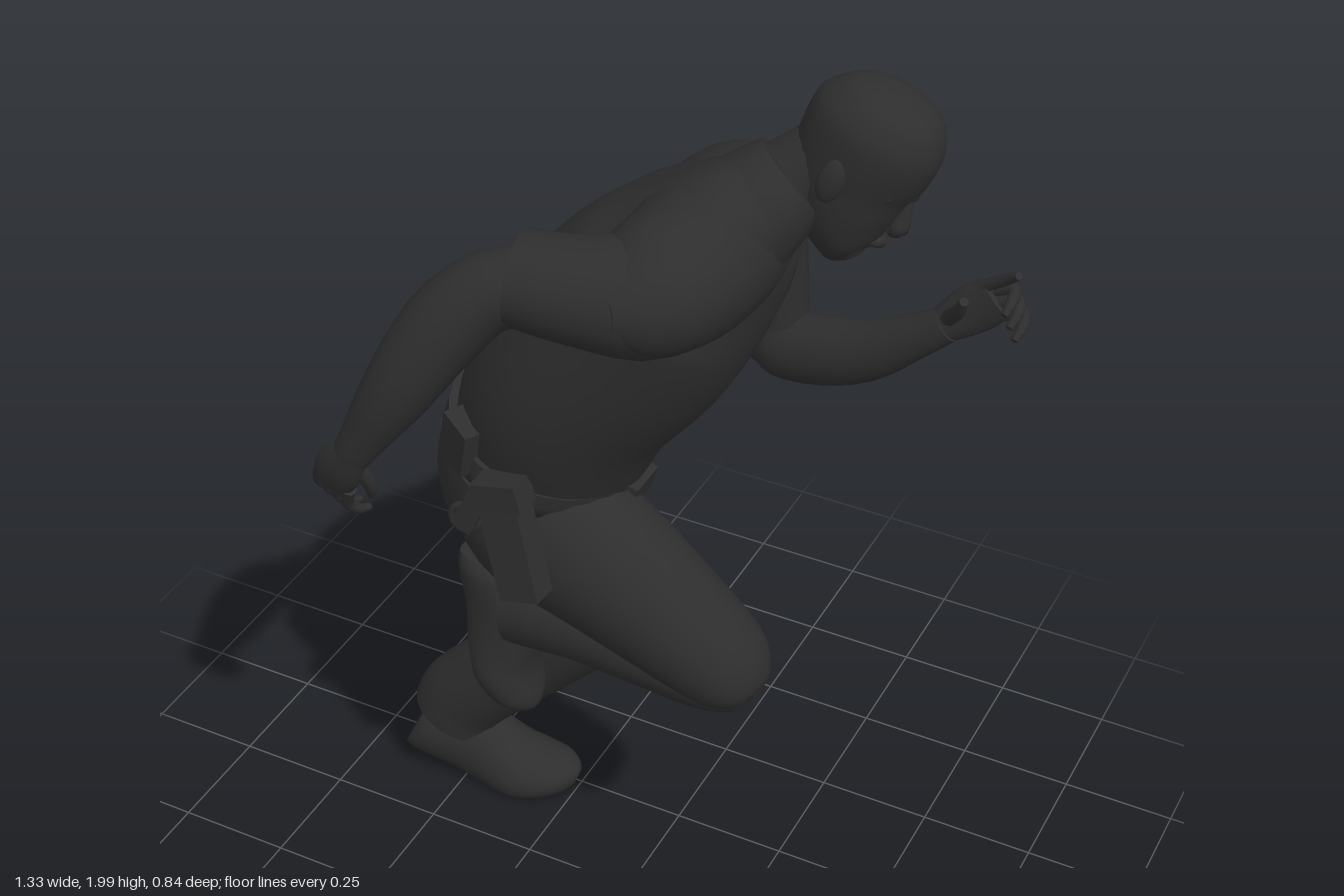
import * as THREE from 'three';

const cloth = new THREE.MeshStandardMaterial({ color: 0x2e2e2e });
cloth.name = 'charcoal';

// Smooth tube through rings [x, y, z, radius across, radius along ref]; flat capped ends
function loft(rings, { steps = 3, sides = 18, ref = [0, 0, 1] } = {}) {
  const path = new THREE.CatmullRomCurve3(rings.map(r => new THREE.Vector3(r[0], r[1], r[2])), false, 'catmullrom', 0.5);
  const size = new THREE.CatmullRomCurve3(rings.map(r => new THREE.Vector3(r[3], r[4] ?? r[3], 0)), false, 'catmullrom', 0.5);
  const n = (rings.length - 1) * steps, pos = [], idx = [], axis = new THREE.Vector3(...ref);
  const ringPoints = i => {
    const t = i / n, c = path.getPoint(t), s = size.getPoint(t), T = path.getTangent(t);
    const w = axis.clone().addScaledVector(T, -axis.dot(T)).normalize();
    const v = w.clone().cross(T);
    for (let j = 0; j < sides; j++) {
      const a = j / sides * Math.PI * 2;
      const p = c.clone().addScaledVector(v, Math.cos(a) * s.x).addScaledVector(w, Math.sin(a) * s.y);
      pos.push(p.x, p.y, p.z);
    }
    return c;
  };
  for (let i = 0; i <= n; i++) ringPoints(i);
  for (let i = 0; i < n; i++) for (let j = 0; j < sides; j++) {
    const k = (j + 1) % sides, a = i * sides + j, b = i * sides + k;
    idx.push(a, b, a + sides, b, b + sides, a + sides);
  }
  for (const end of [0, n]) {
    const base = pos.length / 3, c = ringPoints(end), mid = base + sides;
    pos.push(c.x, c.y, c.z);
    for (let j = 0; j < sides; j++) {
      const a = base + j, b = base + (j + 1) % sides;
      end ? idx.push(mid, a, b) : idx.push(mid, b, a);
    }
  }
  const g = new THREE.BufferGeometry();
  g.setAttribute('position', new THREE.Float32BufferAttribute(pos, 3));
  g.setIndex(idx);
  g.computeVertexNormals();
  return g;
}

function add(parent, name, geo, p = [0, 0, 0], r = [0, 0, 0]) {
  const m = new THREE.Mesh(geo, cloth);
  m.name = name;
  m.position.set(...p);
  m.rotation.set(...r);
  parent.add(m);
  return m;
}

// Rod between two points
function rod(parent, name, a, b, r) {
  const A = new THREE.Vector3(...a), B = new THREE.Vector3(...b), d = B.clone().sub(A);
  const m = add(parent, name, new THREE.CylinderGeometry(r, r, d.length(), 10), A.add(B).multiplyScalar(0.5).toArray());
  m.quaternion.setFromUnitVectors(new THREE.Vector3(0, 1, 0), d.normalize());
}

// Shoe: heel at the origin, toe along +x, flat sole on y = 0 with the toe bent up
function shoe() {
  const g = loft([[0.0, 0.07, 0, 0.078, 0.05], [0.03, 0.072, 0, 0.085, 0.068], [0.12, 0.075, 0, 0.095, 0.072],
    [0.2, 0.058, 0, 0.088, 0.078], [0.29, 0.032, 0, 0.07, 0.09], [0.36, 0.024, 0, 0.052, 0.074], [0.395, 0.02, 0, 0.036, 0.045],
    [0.41, 0.018, 0, 0.02, 0.02]], { sides: 22 });
  const q = g.attributes.position;
  for (let i = 0; i < q.count; i++) {
    const x = q.getX(i), y = Math.max(0, q.getY(i));
    q.setX(i, x + 0.3 * y * Math.max(0, 1 - x / 0.3));
    q.setY(i, y + 0.35 * Math.max(0, x - 0.27));
  }
  g.computeVertexNormals();
  return g;
}

export function createModel() {
  const model = new THREE.Group();
  model.name = 'runningOfficer';
  const body = (name, rings, opt) => add(model, name, loft(rings, opt));

  // Leaning torso, shoulder yoke and belt
  body('shirt', [[-0.17, 1.2, -0.02, 0.198, 0.21], [-0.11, 1.34, -0.022, 0.21, 0.245], [-0.005, 1.49, -0.04, 0.22, 0.265],
    [0.085, 1.61, -0.075, 0.19, 0.295], [0.16, 1.71, -0.085, 0.135, 0.23], [0.23, 1.78, -0.12, 0.085, 0.11]], { sides: 28, ref: [0, 0.2, 1] });
  body('shoulderYoke', [[0.1, 1.6, -0.37, 0.05], [0.1, 1.63, -0.31, 0.11], [0.115, 1.655, -0.2, 0.135], [0.14, 1.68, -0.05, 0.142],
    [0.145, 1.698, 0.09, 0.135], [0.11, 1.695, 0.19, 0.115], [0.07, 1.7, 0.26, 0.055]], { sides: 24, ref: [0, 1, 0] });
  body('belt', [[-0.195, 1.15, -0.02, 0.207, 0.22], [-0.175, 1.21, -0.02, 0.207, 0.22]], { sides: 28 });
  body('hips', [[-0.175, 1.21, -0.02, 0.2, 0.21], [-0.21, 1.09, -0.03, 0.205, 0.215], [-0.22, 0.99, -0.05, 0.165, 0.18],
    [-0.21, 0.91, -0.06, 0.08, 0.09]], { sides: 24 });

  // Neck and shirt collar
  body('neck', [[0.19, 1.74, -0.12, 0.085], [0.26, 1.8, -0.16, 0.078], [0.34, 1.86, -0.19, 0.075]]);
  body('collar', [[0.19, 1.735, -0.1, 0.115, 0.135], [0.225, 1.77, -0.125, 0.102, 0.118], [0.255, 1.8, -0.15, 0.09, 0.1]], { sides: 20 });
  for (const s of [-1, 1])
    add(model, 'collarFlap', new THREE.BoxGeometry(0.02, 0.1, 0.05), [0.262, 1.7, -0.12 + s * 0.05], [s * 0.4, 0, -0.15]);

  // Head, tipped forward
  const head = new THREE.Group();
  head.name = 'head';
  add(head, 'skull', loft([[0.085, -0.172, 0, 0.025, 0.03], [0.065, -0.155, 0, 0.058, 0.06], [0.03, -0.1, 0, 0.098, 0.085],
    [0.005, -0.03, 0, 0.12, 0.097], [0, 0.05, 0, 0.13, 0.107], [-0.003, 0.095, 0, 0.12, 0.1], [-0.008, 0.132, 0, 0.085, 0.075],
    [-0.01, 0.15, 0, 0.025, 0.025]], { sides: 24 }));
  add(head, 'brow', loft([[0.085, 0.0, -0.065, 0.01], [0.115, 0.004, 0, 0.014], [0.085, 0.0, 0.065, 0.01]], { ref: [0, 1, 0] }));
  add(head, 'nose', loft([[0.11, 0.0, 0, 0.012], [0.122, -0.04, 0, 0.016, 0.015], [0.128, -0.065, 0, 0.02, 0.022], [0.116, -0.08, 0, 0.015, 0.016]], { sides: 10 }));
  add(head, 'lips', loft([[0.09, -0.115, -0.03, 0.008], [0.116, -0.112, 0, 0.012], [0.09, -0.115, 0.03, 0.008]], { ref: [0, 1, 0], sides: 10 }));
  for (const s of [-1, 1])
    add(head, 'ear', new THREE.SphereGeometry(1, 12, 8).scale(0.026, 0.045, 0.014), [-0.005, -0.02, s * 0.1], [0, s * 0.25, 0.15]);
  head.position.set(0.368, 1.852, -0.188);
  head.rotation.set(-0.13, 0, -0.45);
  model.add(head);

  // Right arm swung back
  body('rightSleeve', [[0.2, 1.67, 0.1, 0.08, 0.08], [0.12, 1.685, 0.165, 0.115, 0.11], [0.0, 1.695, 0.215, 0.098, 0.1],
    [-0.1, 1.703, 0.235, 0.088, 0.092]]);
  body('rightArm', [[-0.03, 1.69, 0.22, 0.075], [-0.14, 1.675, 0.255, 0.075], [-0.22, 1.595, 0.3, 0.078], [-0.29, 1.475, 0.35, 0.066],
    [-0.355, 1.36, 0.383, 0.043, 0.036], [-0.375, 1.325, 0.388, 0.038, 0.03]]);
  body('rightPalm', [[-0.37, 1.335, 0.388, 0.035, 0.028], [-0.405, 1.285, 0.388, 0.048, 0.026], [-0.43, 1.24, 0.378, 0.042, 0.022]]);
  for (let i = 0; i < 4; i++) {
    const x = -0.462 + i * 0.02, y = 1.25 - i * 0.012;
    body('rightFinger', [[x + 0.012, y + 0.02, 0.382, 0.014], [x - 0.004, y - 0.025, 0.368, 0.012],
      [x + 0.004, y - 0.052, 0.345, 0.011], [x + 0.014, y - 0.06, 0.322, 0.007]], { sides: 8 });
  }
  body('rightThumb', [[-0.375, 1.29, 0.375, 0.017], [-0.362, 1.24, 0.355, 0.014], [-0.368, 1.2, 0.34, 0.009]], { sides: 8 });

  // Left arm bent forward
  body('leftSleeve', [[0.14, 1.68, -0.19, 0.09, 0.09], [0.1, 1.64, -0.29, 0.112, 0.112], [0.1, 1.54, -0.335, 0.108, 0.085],
    [0.12, 1.36, -0.35, 0.094, 0.072]]);
  body('leftUpperArm', [[0.11, 1.46, -0.345, 0.075, 0.06], [0.13, 1.36, -0.35, 0.075, 0.062], [0.155, 1.29, -0.345, 0.062, 0.056],
    [0.17, 1.245, -0.34, 0.025]]);
  body('leftForearm', [[0.11, 1.3, -0.345, 0.035], [0.16, 1.3, -0.342, 0.068, 0.06], [0.25, 1.315, -0.335, 0.073, 0.06],
    [0.35, 1.35, -0.33, 0.064, 0.054], [0.45, 1.415, -0.325, 0.045, 0.038], [0.51, 1.46, -0.325, 0.037, 0.03]]);
  body('leftPalm', [[0.5, 1.452, -0.328, 0.036, 0.03], [0.555, 1.5, -0.335, 0.05, 0.026], [0.6, 1.54, -0.335, 0.045, 0.022]]);
  body('leftIndexFinger', [[0.56, 1.55, -0.335, 0.014], [0.61, 1.585, -0.325, 0.013], [0.645, 1.615, -0.305, 0.008]], { sides: 8 });
  for (let i = 0; i < 3; i++) {
    const x = 0.595 + i * 0.012, y = 1.555 - i * 0.024;
    body('leftFinger', [[x, y, -0.338, 0.015], [x + 0.035, y + 0.015, -0.33, 0.013],
      [x + 0.044, y + 0.008, -0.3, 0.012], [x + 0.04, y - 0.01, -0.272, 0.007]], { sides: 8 });
  }
  body('leftThumb', [[0.515, 1.48, -0.315, 0.017], [0.545, 1.525, -0.28, 0.014], [0.56, 1.56, -0.26, 0.009]], { sides: 8 });

  // Right leg raised, shin folded back
  body('rightThigh', [[-0.24, 1.08, 0.06, 0.15, 0.12], [-0.16, 1.04, 0.065, 0.18, 0.135], [-0.03, 0.975, 0.06, 0.157, 0.138],
    [0.12, 0.87, 0.045, 0.125, 0.122], [0.235, 0.78, 0.03, 0.096, 0.105], [0.285, 0.74, 0.025, 0.055, 0.07],
    [0.3, 0.728, 0.025, 0.02, 0.03]], { sides: 22 });
  body('rightShin', [[0.295, 0.735, 0.025, 0.02, 0.03], [0.275, 0.738, 0.025, 0.052, 0.07], [0.2, 0.755, 0.03, 0.077, 0.095],
    [0.06, 0.77, 0.03, 0.087, 0.095], [-0.1, 0.775, 0.025, 0.092, 0.092], [-0.245, 0.765, 0.02, 0.102, 0.088]], { sides: 20 });
  add(model, 'rightShoe', shoe(), [-0.37, 0.868, 0.018], [0, 0, -1.4]);

  // Left leg pushing off
  body('leftThigh', [[-0.22, 1.12, -0.11, 0.17, 0.13], [-0.23, 0.97, -0.15, 0.155, 0.145], [-0.205, 0.8, -0.205, 0.125, 0.128],
    [-0.175, 0.67, -0.228, 0.1, 0.115], [-0.175, 0.58, -0.228, 0.065, 0.085]], { sides: 22 });
  body('leftShin', [[-0.145, 0.7, -0.23, 0.055, 0.085], [-0.19, 0.58, -0.228, 0.107, 0.116], [-0.31, 0.44, -0.218, 0.104, 0.112],
    [-0.45, 0.3, -0.2, 0.1, 0.1], [-0.515, 0.23, -0.193, 0.103, 0.093], [-0.54, 0.175, -0.19, 0.103, 0.09]], { sides: 20 });
  add(model, 'leftShoe', shoe(), [-0.657, 0.075, -0.155], [0, 0.18, -0.22]);

  // Belt gear: name, centre, size, turn
  const gear = [
    ['buckle', [0.015, 1.11, -0.02], [0.02, 0.06, 0.09], [0, 0, -0.3]],
    ['holster', [-0.13, 1.09, 0.225], [0.085, 0.23, 0.06], [-0.08, 0, 0.25]],
    ['holsterFlap', [-0.155, 1.2, 0.22], [0.1, 0.06, 0.06], [0, 0, 0.25]],
    ['pistolGrip', [-0.215, 1.15, 0.225], [0.045, 0.12, 0.03], [0, 0, -0.45]],
    ['rearPouch', [-0.265, 1.25, 0.165], [0.08, 0.11, 0.06], [0, -0.5, -0.25]],
    ['frontPouch', [-0.09, 1.16, -0.245], [0.11, 0.14, 0.08], [0, -0.5, -0.25]],
    ['sidePouch', [-0.19, 1.19, -0.295], [0.1, 0.15, 0.09], [0, -0.1, -0.3]],
    ['radioPouch', [-0.28, 1.22, -0.28], [0.085, 0.14, 0.1], [0, 0.2, -0.3]],
  ];
  for (const [name, p, s, r] of gear) add(model, name, new THREE.BoxGeometry(...s), p, r);
  add(model, 'handcuff', new THREE.TorusGeometry(0.028, 0.009, 8, 16), [-0.24, 1.11, 0.22]);

  // Side-handled baton
  rod(model, 'batonShaft', [-0.415, 0.65, -0.345], [-0.355, 1.25, -0.25], 0.017);
  rod(model, 'batonHandle', [-0.36, 1.2, -0.255], [-0.455, 1.19, -0.115], 0.018);
  rod(model, 'batonHolder', [-0.365, 1.14, -0.268], [-0.36, 1.18, -0.262], 0.03);
  return model;
}
